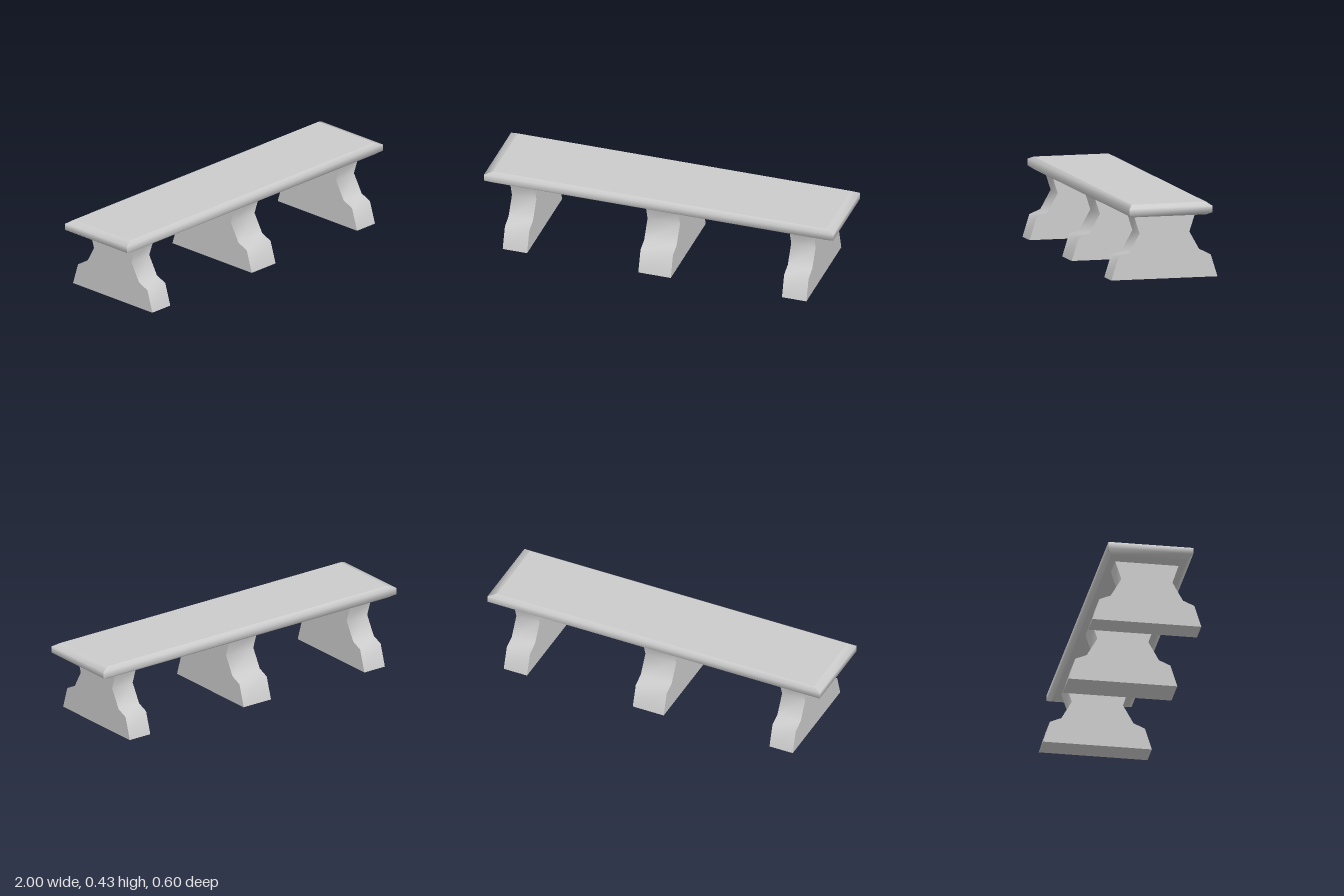
import * as THREE from 'three';
import { toCreasedNormals } from 'three/addons/utils/BufferGeometryUtils.js';

const material = new THREE.MeshStandardMaterial({ color: 0xcccccc });

// Slab cross-section rings, bottom to top: [half length x, y, half depth z]
const RINGS = [
  [0.955, 0.355, 0.211],
  [1, 0.372, 0.234],
  [1, 0.408, 0.234],
  [0.955, 0.425, 0.211],
];

// Half outline of a leg, from foot to seat: [z, y]
const LEG = [[0.3, 0], [0.262, 0.122], [0.199, 0.149], [0.141, 0.252], [0.175, 0.356]];

function surface(positions, index) {
  const geometry = new THREE.BufferGeometry();
  geometry.setAttribute('position', new THREE.Float32BufferAttribute(positions, 3));
  geometry.setIndex(index);
  geometry.computeVertexNormals();
  return geometry;
}

function addMesh(parent, geometry, name) {
  const mesh = new THREE.Mesh(geometry, material);
  mesh.name = name;
  parent.add(mesh);
  return mesh;
}

// Rounded edge band along one side, smooth across its height, sharp at the mitres
function edgeBand(a, b) {
  const positions = [], index = [];
  RINGS.forEach(([x, y, z], i) => {
    positions.push(a[0] * x, y, a[1] * z, b[0] * x, y, b[1] * z);
    if (i > 0) {
      const k = 2 * (i - 1);
      index.push(k, k + 1, k + 3, k, k + 3, k + 2);
    }
  });
  return surface(positions, index);
}

// Flat face closing the slab; corners run counter-clockwise seen from above
function flatFace([x, y, z], up) {
  return surface([-x, y, z, x, y, z, x, y, -z, -x, y, -z],
    up ? [0, 1, 2, 0, 2, 3] : [0, 2, 1, 0, 3, 2]);
}

// Waisted leg: mirrored outline extruded along x
function legGeometry(width) {
  const right = LEG.map(([z, y]) => new THREE.Vector2(z, y));
  const left = LEG.map(([z, y]) => new THREE.Vector2(-z, y)).reverse();
  const geometry = new THREE.ExtrudeGeometry(new THREE.Shape([...right, ...left]),
    { depth: width, bevelEnabled: false });
  geometry.translate(0, 0, -width / 2);
  geometry.rotateY(Math.PI / 2);
  return toCreasedNormals(geometry, 1.05);
}

export function createModel() {
  const bench = new THREE.Group();
  bench.name = 'bench';

  // Seat slab
  const seat = new THREE.Group();
  seat.name = 'seat';
  bench.add(seat);
  const corners = [[-1, 1], [1, 1], [1, -1], [-1, -1]];
  const sides = ['frontEdge', 'leftEdge', 'backEdge', 'rightEdge'];
  sides.forEach((name, i) => addMesh(seat, edgeBand(corners[i], corners[(i + 1) % 4]), name));
  addMesh(seat, flatFace(RINGS[3], true), 'seatTop');
  addMesh(seat, flatFace(RINGS[0], false), 'seatUnderside');

  // Legs, the middle one wider
  for (const [name, x, width] of [
    ['rightLeg', -0.8, 0.14], ['middleLeg', 0, 0.186], ['leftLeg', 0.8, 0.14],
  ]) {
    addMesh(bench, legGeometry(width), name).position.x = x;
  }
  return bench;
}
